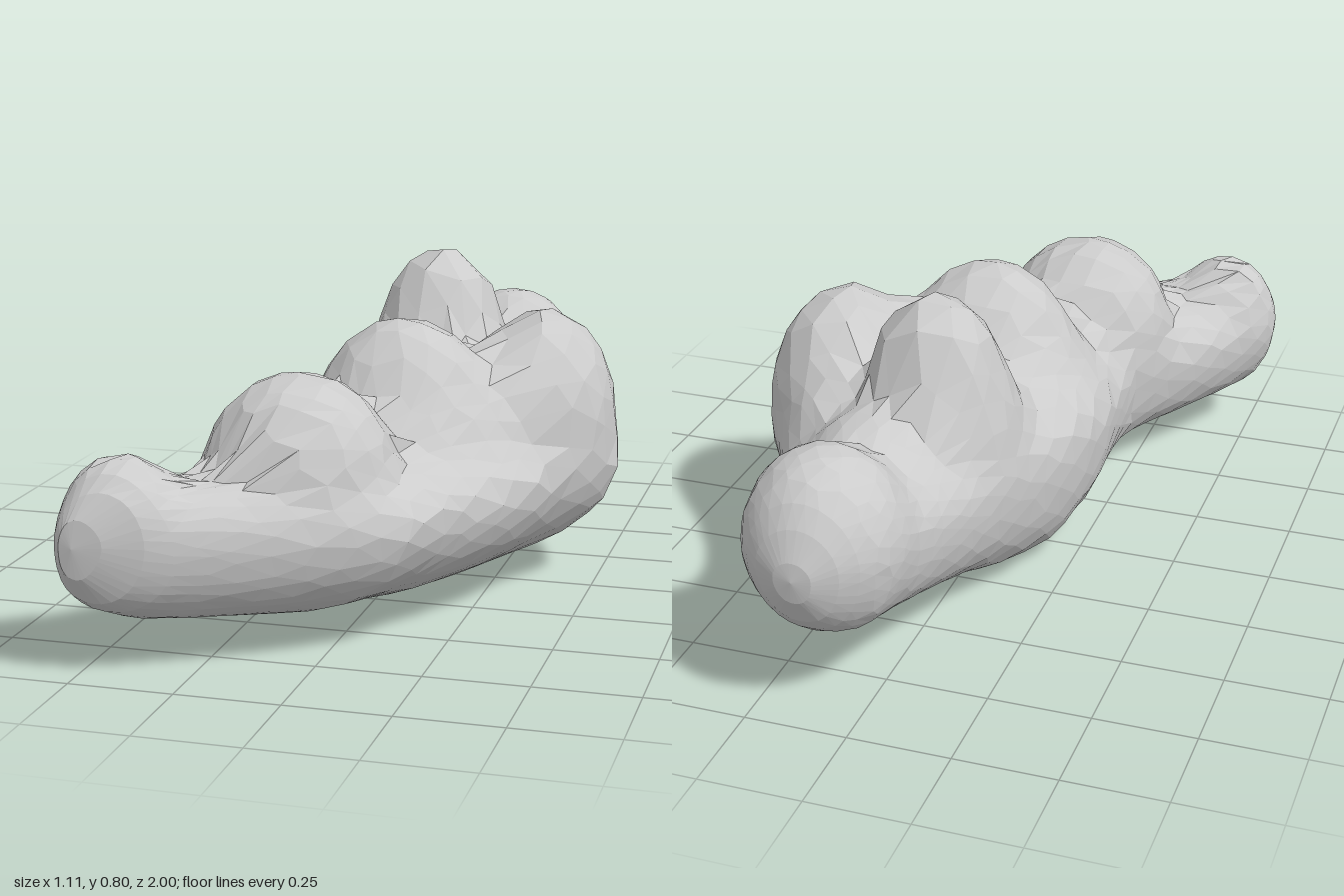
import * as THREE from 'three';

// Base of the cloud, front to back: z, left edge, lowest x, right edge, underside y, widest y, top y
const sections = [
  [1.0, -0.49, -0.48, -0.47, 0.3, 0.315, 0.33],
  [0.995, -0.51, -0.475, -0.44, 0.25, 0.31, 0.37],
  [0.98, -0.525, -0.46, -0.395, 0.205, 0.31, 0.4],
  [0.95, -0.54, -0.43, -0.30, 0.165, 0.3, 0.42],
  [0.85, -0.55, -0.38, -0.12, 0.115, 0.3, 0.43],
  [0.75, -0.51, -0.27, 0.05, 0.1, 0.3, 0.43],
  [0.63, -0.435, -0.15, 0.195, 0.08, 0.3, 0.43],
  [0.5, -0.34, -0.08, 0.25, 0.07, 0.3, 0.44],
  [0.4, -0.28, -0.06, 0.31, 0.05, 0.3, 0.45],
  [0.25, -0.275, -0.06, 0.395, 0.03, 0.31, 0.46],
  [0.1, -0.285, -0.05, 0.45, 0.01, 0.32, 0.47],
  [-0.08, -0.27, -0.03, 0.55, 0.0, 0.33, 0.49],
  [-0.25, -0.22, 0.02, 0.49, 0.03, 0.33, 0.50],
  [-0.4, -0.17, 0.08, 0.40, 0.08, 0.33, 0.50],
  [-0.6, -0.11, 0.11, 0.32, 0.125, 0.35, 0.51],
  [-0.75, -0.075, 0.12, 0.315, 0.16, 0.36, 0.52],
  [-0.87, -0.045, 0.12, 0.285, 0.185, 0.37, 0.53],
  [-0.95, 0.015, 0.12, 0.225, 0.245, 0.38, 0.48],
  [-0.985, 0.06, 0.12, 0.18, 0.3, 0.38, 0.44],
  [-0.995, 0.085, 0.12, 0.155, 0.335, 0.38, 0.41],
  [-1.0, 0.11, 0.12, 0.13, 0.37, 0.38, 0.39],
];

// Billows, six tall ones then the broad shoulders under them: centre, radii
const billows = [
  { c: [-0.415, 0.33, 0.86], r: [0.14, 0.17, 0.13] },
  { c: [-0.10, 0.385, 0.54], r: [0.23, 0.25, 0.22] },
  { c: [0.05, 0.42, 0.15], r: [0.23, 0.28, 0.2] },
  { c: [0.345, 0.405, -0.10], r: [0.19, 0.285, 0.24] },
  { c: [0.03, 0.56, -0.31], r: [0.165, 0.24, 0.165] },
  { c: [0.12, 0.40, -0.79], r: [0.19, 0.21, 0.19] },
  { c: [0.05, 0.36, 0.14], r: [0.28, 0.23, 0.29] },
  { c: [0.02, 0.42, -0.29], r: [0.2, 0.25, 0.23] },
  { c: [0.11, 0.40, -0.5], r: [0.17, 0.17, 0.18] },
  { c: [0.20, 0.38, 0.0], r: [0.22, 0.22, 0.25] },
  { c: [0.25, 0.38, -0.28], r: [0.18, 0.19, 0.2] },
];

function sectionAt(z) {
  let i = 0;
  while (i < sections.length - 2 && sections[i + 1][0] > z) i++;
  const [a, b] = [sections[i], sections[i + 1]];
  const t = (a[0] - z) / (a[0] - b[0]);
  return a.map((v, k) => THREE.MathUtils.lerp(v, b[k], t));
}

// Distance from a point to the base outline, measured towards the section's middle
function baseDistance([, xl, cx, xr, yb, cy, yt], x, y) {
  const dx = x - cx, dy = y - cy;
  const u = Math.abs(dx) / (dx > 0 ? xr - cx : cx - xl);
  const v = Math.abs(dy) / (dy > 0 ? yt - cy : cy - yb);
  // the lower left flank is squarer
  const n = dx < 0 && dy < 0 ? 2.5 : 2;
  const q = Math.max(Math.pow(u ** n + v ** n, 1 / n), 1e-3);
  return (1 - 1 / q) * Math.hypot(dx, dy);
}

// Approximate distance from a point to a billow's surface
function billowDistance({ c, r }, p) {
  const q = p.map((v, k) => (v - c[k]) / r[k]);
  const k0 = Math.hypot(...q);
  const k1 = Math.hypot(...q.map((v, k) => v / r[k]));
  return k1 > 0 ? k0 * (k0 - 1) / k1 : -Math.min(...r);
}

function smoothMin(a, b, k) {
  const h = Math.max(k - Math.abs(a - b), 0) / k;
  return Math.min(a, b) - h * h * k * 0.25;
}

// Point on the cloud's skin at station z and angle a, found by walking in from outside
function skinPoint(z, a) {
  const section = sectionAt(z);
  const ox = (section[1] + section[3]) / 2, oy = section[5];
  const at = (d) => [ox + Math.cos(a) * d, oy + Math.sin(a) * d, z];
  const field = (d) => {
    const p = at(d);
    return billows.reduce((f, billow) => smoothMin(f, billowDistance(billow, p), 0.045),
      baseDistance(section, p[0], p[1]));
  };
  const step = 0.01;
  let d = 0.75, outer = field(d);
  while (d > step) {
    const inner = field(d - step);
    if (inner <= 0) return at(d - step * outer / (outer - inner));
    d -= step;
    outer = inner;
  }
  return at(d);
}

// Small repeatable offset in -0.5..0.5 for uneven facets
function wobble(n) {
  const v = Math.sin(n * 12.9898) * 43758.5453;
  return v - Math.floor(v) - 0.5;
}

// Staggered rings joined into one closed skin
function cloudGeometry(rings, sides) {
  const positions = [], index = [];
  for (let i = 0; i < rings; i++) {
    const s = (i + 0.25) / (rings - 0.5);
    // rings gather towards both rounded ends
    const z = 0.55 * (1 - 2 * s) + 0.45 * Math.cos(Math.PI * s);
    const loose = Math.abs(z) < 0.93 ? 0.03 : 0;
    for (let j = 0; j < sides; j++) {
      const n = i * sides + j + 1;
      const turn = j + (i % 2) / 2 + 0.4 * wobble(n);
      positions.push(...skinPoint(z + loose * wobble(n + 0.37), turn / sides * Math.PI * 2));
    }
  }
  const front = rings * sides, back = front + 1;
  positions.push(-0.48, 0.315, 1, 0.12, 0.38, -1);
  for (let j = 0; j < sides; j++) {
    const k = (j + 1) % sides;
    index.push(front, j, k);
    const last = (rings - 1) * sides;
    index.push(back, last + k, last + j);
    for (let i = 0; i < rings - 1; i++) {
      const a = i * sides + j, b = i * sides + k;
      const c = a + sides, d = b + sides;
      if (i % 2) index.push(a, c, d, a, d, b);
      else index.push(a, c, b, b, c, d);
    }
  }
  const geometry = new THREE.BufferGeometry();
  geometry.setAttribute('position', new THREE.Float32BufferAttribute(positions, 3));
  geometry.setIndex(index);
  const faceted = geometry.toNonIndexed();
  faceted.computeVertexNormals();
  return faceted;
}

export function createModel() {
  const group = new THREE.Group();
  group.name = 'cloud';
  const material = new THREE.MeshStandardMaterial({ color: 0xcccccc, flatShading: true });
  const body = new THREE.Mesh(cloudGeometry(40, 32), material);
  body.name = 'cloudBody';
  group.add(body);
  return group;
}
